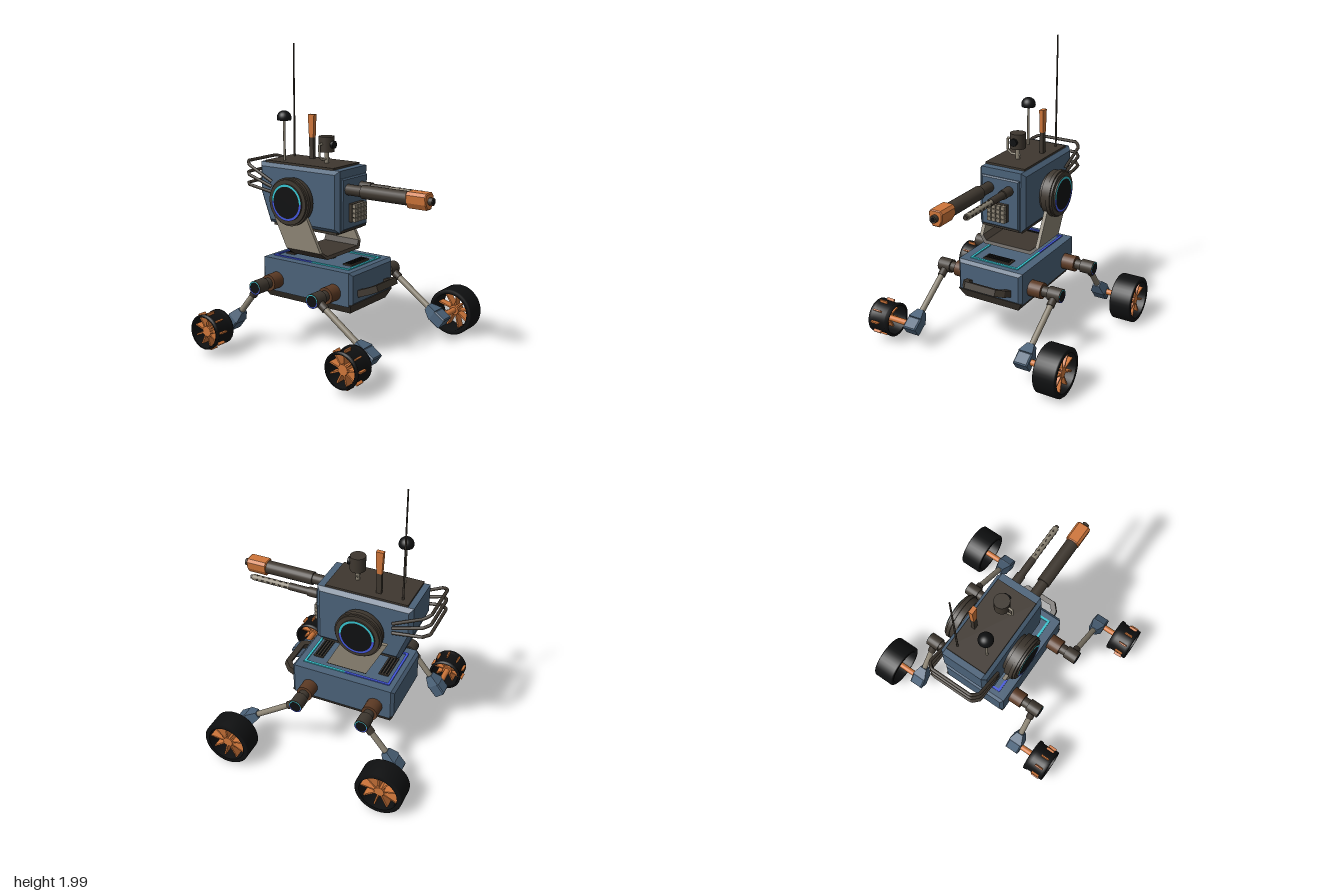
import * as THREE from 'three';

const mat = (name, color, side = THREE.FrontSide) => {
  const m = new THREE.MeshStandardMaterial({ color, side });
  m.name = name;
  return m;
};
const V = (x, y, z) => new THREE.Vector3(x, y, z);
const UP = V(0, 1, 0);

export function createModel() {
  const blue = mat('steel blue', 0x4b6279), dark = mat('dark brown', 0x3e372f), black = mat('rubber black', 0x0f1011, THREE.DoubleSide);
  const orange = mat('orange', 0xcf763a), beige = mat('bare metal', 0x8b8373), rust = mat('rust brown', 0x5c3a24);
  const cyan = mat('cyan light', 0x36c3cf, THREE.DoubleSide), indigo = mat('indigo light', 0x4256dc, THREE.DoubleSide);
  const root = new THREE.Group();
  root.name = 'robotRover';

  const add = (parent, name, geo, material, x = 0, y = 0, z = 0) => {
    const m = new THREE.Mesh(geo, material);
    m.name = name;
    m.position.set(x, y, z);
    parent.add(m);
    return m;
  };
  const group = (name, parent = root) => {
    const g = new THREE.Group();
    g.name = name;
    parent.add(g);
    return g;
  };
  const box = (p, name, material, w, h, d, x, y, z) => add(p, name, new THREE.BoxGeometry(w, h, d), material, x, y, z);
  // Cylinder or cone between two points
  const rod = (p, name, material, a, b, r, r2 = r, seg = 20) => {
    const d = b.clone().sub(a);
    const m = add(p, name, new THREE.CylinderGeometry(r2, r, d.length(), seg), material);
    m.position.copy(a).add(b).multiplyScalar(0.5);
    m.quaternion.setFromUnitVectors(UP, d.normalize());
    return m;
  };
  const poly = (pts) => new THREE.Shape(pts.map(([x, y]) => new THREE.Vector2(x, y)));
  // Centred extrusion with a chamfered edge of size c
  const slab = (pts, depth, c) => {
    const g = new THREE.ExtrudeGeometry(poly(pts), { depth: depth - 2 * c, bevelEnabled: c > 0, bevelSize: c, bevelThickness: c, bevelOffset: -c, bevelSegments: 1 });
    return g.translate(0, 0, -depth / 2 + c);
  };
  const rect = (w, h) => [[-w / 2, -h / 2], [w / 2, -h / 2], [w / 2, h / 2], [-w / 2, h / 2]];
  // Straight-sided tube through points
  const pipe = (p, name, material, pts, r) => {
    const path = new THREE.CurvePath();
    for (let i = 1; i < pts.length; i++) path.add(new THREE.LineCurve3(pts[i - 1], pts[i]));
    return add(p, name, new THREE.TubeGeometry(path, 48, r, 8, false), material);
  };
  // Box whose top is scaled by kx, kz
  const taper = (w, h, d, kx, kz) => {
    const g = new THREE.BoxGeometry(w, h, d), a = g.attributes.position;
    for (let i = 0; i < a.count; i++) if (a.getY(i) > 0) a.setXYZ(i, a.getX(i) * kx, a.getY(i), a.getZ(i) * kz);
    const flat = g.toNonIndexed();
    flat.computeVertexNormals();
    return flat;
  };
  // Glowing ring facing sideways: cyan top, indigo bottom, dark lens inside
  const glowRing = (p, s, x, y, z, r) => {
    [[cyan, 0], [indigo, Math.PI]].forEach(([m, start]) => {
      add(p, 'lightRing', new THREE.RingGeometry(r * 0.88, r, 32, 1, start, Math.PI), m, s * x, y, z).rotation.y = s * Math.PI / 2;
    });
    add(p, 'lens', new THREE.CircleGeometry(r * 0.88, 32), black, s * x, y, z).rotation.y = s * Math.PI / 2;
  };

  // Chassis
  const chassis = group('chassis');
  add(chassis, 'hull', slab(rect(0.485, 0.225), 0.735, 0.02), blue, 0, 0.482, -0.122);
  add(chassis, 'underTray', taper(0.485, 0.06, 0.735, 1, 1).rotateX(Math.PI), dark, 0, 0.35, -0.122).geometry = taper(0.41, 0.065, 0.67, 1.18, 1.09);
  for (const s of [-1, 1]) {
    box(chassis, 'deckLightSide', cyan, 0.016, 0.008, 0.3, s * 0.175, 0.598, 0.035);
    box(chassis, 'deckLightSide', indigo, 0.016, 0.008, 0.32, s * 0.175, 0.598, -0.275);
  }
  box(chassis, 'deckLightFront', cyan, 0.366, 0.008, 0.016, 0, 0.598, 0.177);
  box(chassis, 'deckLightRear', indigo, 0.366, 0.008, 0.016, 0, 0.598, -0.427);
  for (const z of [0.115, -0.36]) {
    box(chassis, 'ventPlate', dark, 0.2, 0.012, 0.07, 0, 0.598, z);
    for (let i = -1; i <= 1; i++) box(chassis, 'ventSlat', black, 0.18, 0.006, 0.009, 0, 0.606, z + i * 0.02);
  }
  const loop = poly([[-0.17, 0], [-0.16, 0.075], [-0.115, 0.125], [0.115, 0.125], [0.16, 0.075], [0.17, 0],
    [0.13, 0], [0.125, 0.06], [0.1, 0.09], [-0.1, 0.09], [-0.125, 0.06], [-0.13, 0]]);
  const bumper = add(chassis, 'frontHandle', new THREE.ExtrudeGeometry(loop, { depth: 0.045, bevelEnabled: false }), dark, 0, 0.465, 0.235);
  bumper.rotation.x = Math.PI / 2 - 0.35;

  // Wheels: open rim with spoke blades; only the left side has tyres
  const wheel = (p, s, z, tyre) => {
    const g = group(s > 0 ? 'leftWheel' : 'rightWheel', p);
    g.position.set(s * 0.643, 0.17, z);
    const prof = tyre
      ? [[0.13, -0.077], [0.155, -0.077], [0.162, -0.07], [0.162, 0.07], [0.155, 0.077], [0.13, 0.077], [0.13, -0.077]]
      : [[0.1, -0.077], [0.116, -0.077], [0.116, -0.058], [0.108, -0.045], [0.108, 0.045], [0.116, 0.058], [0.116, 0.077], [0.1, 0.077], [0.1, -0.077]];
    const geo = new THREE.LatheGeometry(prof.map(([r, y]) => new THREE.Vector2(r, y)), 40);
    add(g, tyre ? 'tyre' : 'rim', geo, black).rotation.z = Math.PI / 2;
    rod(g, 'hub', orange, V(-s * 0.02, 0, 0), V(s * 0.055, 0, 0), 0.034);
    rod(g, 'axle', orange, V(-s * 0.18, 0, 0), V(0, 0, 0), 0.02);
    for (let i = 0; i < 9; i++) {
      const a = i * Math.PI * 2 / 9 + 0.1, len = tyre ? 0.1 : 0.096;
      const b = box(g, 'spoke', orange, 0.06, len, 0.01, s * 0.022, Math.cos(a) * (0.03 + len / 2), Math.sin(a) * (0.03 + len / 2));
      b.rotation.x = a;
    }
  };

  // Suspension legs
  for (const s of [-1, 1]) for (const [z0, z1] of [[0.11, 0.51], [-0.36, -0.585]]) {
    const leg = group('leg');
    rod(leg, 'axleHousing', rust, V(s * 0.23, 0.45, z0), V(s * 0.335, 0.45, z0), 0.055);
    rod(leg, 'axleSleeve', dark, V(s * 0.33, 0.45, z0), V(s * 0.385, 0.45, z0), 0.036);
    rod(leg, 'joint', dark, V(s * 0.38, 0.45, z0), V(s * 0.472, 0.45, z0), 0.047);
    glowRing(leg, s, 0.474, 0.45, z0, 0.043);
    const top = V(s * 0.425, 0.45, z0), foot = V(s * 0.425, 0.17, z1);
    const dir = foot.clone().sub(top).normalize(), at = (t) => top.clone().addScaledVector(dir, t);
    rod(leg, 'collar', dark, at(0.03), at(0.09), 0.027);
    rod(leg, 'strut', beige, at(0.06), foot, 0.02);
    const block = group('foot', leg);
    block.position.copy(foot);
    block.quaternion.setFromUnitVectors(UP, dir.clone().negate());
    add(block, 'footBlock', slab(rect(0.1, 0.09), 0.085, 0.008), blue, 0, -0.005, 0);
    add(block, 'footTaper', taper(0.1, 0.07, 0.085, 0.5, 0.55), blue, 0, 0.075, 0);
    wheel(leg, s, z1, s > 0);
  }

  // Yoke: a U-shaped bracket sheared backwards
  const yoke = group('yoke');
  rod(yoke, 'pedestal', dark, V(0, 0.585, -0.12), V(0, 0.645, -0.12), 0.06, 0.06, 28);
  const shear = (g) => {
    const a = g.attributes.position;
    for (let i = 0; i < a.count; i++) a.setZ(i, a.getZ(i) - 0.13 - (a.getY(i) - 0.645) * 0.51);
    g.computeVertexNormals();
    return g;
  };
  add(yoke, 'yokeBase', shear(slab([[-0.18, 0.635], [0.18, 0.635], [0.228, 0.68], [0.204, 0.685], [0.17, 0.655], [-0.17, 0.655], [-0.204, 0.685], [-0.228, 0.68]], 0.28, 0)), dark);
  for (const s of [-1, 1]) {
    const arm = [[0.204, 0.68], [0.228, 0.68], [0.228, 0.95], [0.204, 0.95]].map(([x, y]) => [s * x, y]);
    add(yoke, 'yokeArm', shear(slab(arm, 0.28, 0)), beige);
  }

  // Head
  const head = group('head');
  const sideOn = (pts, w, c) => slab(pts, w, c).rotateY(-Math.PI / 2);
  add(head, 'headShell', sideOn([[0.09, 0.815], [0.09, 1.222], [-0.565, 1.222], [-0.565, 1.02], [-0.487, 0.815]], 0.345, 0.025), blue);
  box(head, 'headUnderside', dark, 0.29, 0.025, 0.52, 0, 0.81, -0.2);
  box(head, 'roofPlate', dark, 0.295, 0.014, 0.56, -0.002, 1.228, -0.243);
  add(head, 'facePanel', slab(rect(0.28, 0.34), 0.03, 0.008), blue, 0, 1.0, 0.09);
  add(head, 'chinPlate', slab(rect(0.28, 0.025), 0.02, 0.004), dark, 0, 0.825, 0.085);
  for (const s of [-1, 1]) {
    const drum = group('sideDrum', head);
    const layers = [[0.16, 0.2, 0.13], [0.195, 0.235, 0.152], [0.235, 0.26, 0.16], [0.26, 0.274, 0.15], [0.27, 0.284, 0.122]];
    for (const [a, b, r] of layers) rod(drum, 'drumLayer', dark, V(s * a, 1, -0.24), V(s * b, 1, -0.24), r, r, 40);
    glowRing(drum, s, 0.286, 1, -0.24, 0.12);
  }

  // Main gun
  const gun = group('mainGun');
  const gx = -0.08, gy = 1.095;
  rod(gun, 'gunRoot', dark, V(gx, gy, 0.08), V(gx, gy, 0.23), 0.036);
  rod(gun, 'barrel', dark, V(gx, gy, 0.225), V(gx, gy, 0.57), 0.045);
  const muzzle = [[-0.05, 0.03], [-0.035, 0.05], [0.035, 0.05], [0.05, 0.03], [0.045, -0.02], [0.025, -0.055], [-0.025, -0.055], [-0.045, -0.02]].reverse();
  add(gun, 'muzzle', slab(muzzle, 0.145, 0.006), orange, gx, gy, 0.638);
  rod(gun, 'muzzleTip', dark, V(gx, gy, 0.7), V(gx, gy, 0.738), 0.024);
  rod(gun, 'bore', black, V(gx, gy, 0.737), V(gx, gy, 0.74), 0.014);

  // Second gun with a perforated jacket
  const gun2 = group('smallGun');
  const sx = 0.07;
  rod(gun2, 'gunRoot', dark, V(sx, gy, 0.08), V(sx, gy, 0.19), 0.032);
  rod(gun2, 'gunCollar', dark, V(sx, gy, 0.18), V(sx, gy, 0.33), 0.025);
  rod(gun2, 'jacket', beige, V(sx, gy, 0.32), V(sx, gy, 0.6), 0.021);
  rod(gun2, 'gunTip', dark, V(sx, gy, 0.6), V(sx, gy, 0.618), 0.014);
  for (let i = 0; i < 6; i++) for (let k = 0; k < 4; k++) {
    const a = k * Math.PI / 2;
    const h = box(gun2, 'jacketHole', dark, 0.01, 0.004, 0.02, sx + Math.sin(a) * 0.0205, gy + Math.cos(a) * 0.0205, 0.355 + i * 0.042);
    h.rotation.z = -a;
  }

  // Keypad grille
  const keypad = group('keypad');
  box(keypad, 'keypadBase', dark, 0.135, 0.12, 0.03, -0.003, 0.94, 0.115);
  for (let i = 0; i < 4; i++) for (let j = 0; j < 4; j++)
    box(keypad, 'key', beige, 0.028, 0.025, 0.025, -0.053 + i * 0.034, 0.895 + j * 0.03, 0.142);

  // Roof equipment
  const roof = group('roofEquipment');
  rod(roof, 'cameraStem', beige, V(0, 1.23, -0.125), V(0, 1.315, -0.125), 0.015);
  rod(roof, 'cameraBody', dark, V(0, 1.31, -0.125), V(0, 1.412, -0.125), 0.052, 0.052, 28);
  rod(roof, 'cameraLens', black, V(0, 1.36, -0.09), V(0, 1.36, -0.06), 0.026);
  pipe(roof, 'cameraBracket', beige, [V(-0.05, 1.365, -0.125), V(-0.078, 1.365, -0.125), V(-0.078, 1.285, -0.125), V(-0.05, 1.262, -0.125), V(0.025, 1.262, -0.125)], 0.008);
  box(roof, 'paddleBase', dark, 0.025, 0.15, 0.034, 0.083, 1.305, -0.308);
  add(roof, 'paddle', taper(0.028, 0.155, 0.036, 1.05, 1.4), orange, 0.083, 1.457, -0.308);
  rod(roof, 'sensorStem', beige, V(-0.086, 1.23, -0.412), V(-0.086, 1.51, -0.412), 0.008);
  add(roof, 'sensorDome', new THREE.SphereGeometry(0.049, 24, 12, 0, Math.PI * 2, 0, Math.PI * 0.6), black, -0.086, 1.52, -0.412);
  rod(roof, 'antenna', dark, V(0.096, 1.22, -0.472), V(0.096, 2, -0.472), 0.007, 0.005, 8);

  // Three rear guard rails
  for (const [y0, y1] of [[1.1, 1.215], [1.065, 1.14], [1.03, 1.065]]) {
    const at = (x, z) => V(x, y0 + (y1 - y0) * (-0.44 - z) / 0.24, z);
    const half = [at(0.187, -0.44), at(0.187, -0.64), at(0.15, -0.68)];
    const other = half.map((p) => V(-p.x, p.y, p.z)).reverse();
    pipe(group('rearRail'), 'rail', dark, [...half, ...other], 0.011);
  }
  return root;
}
